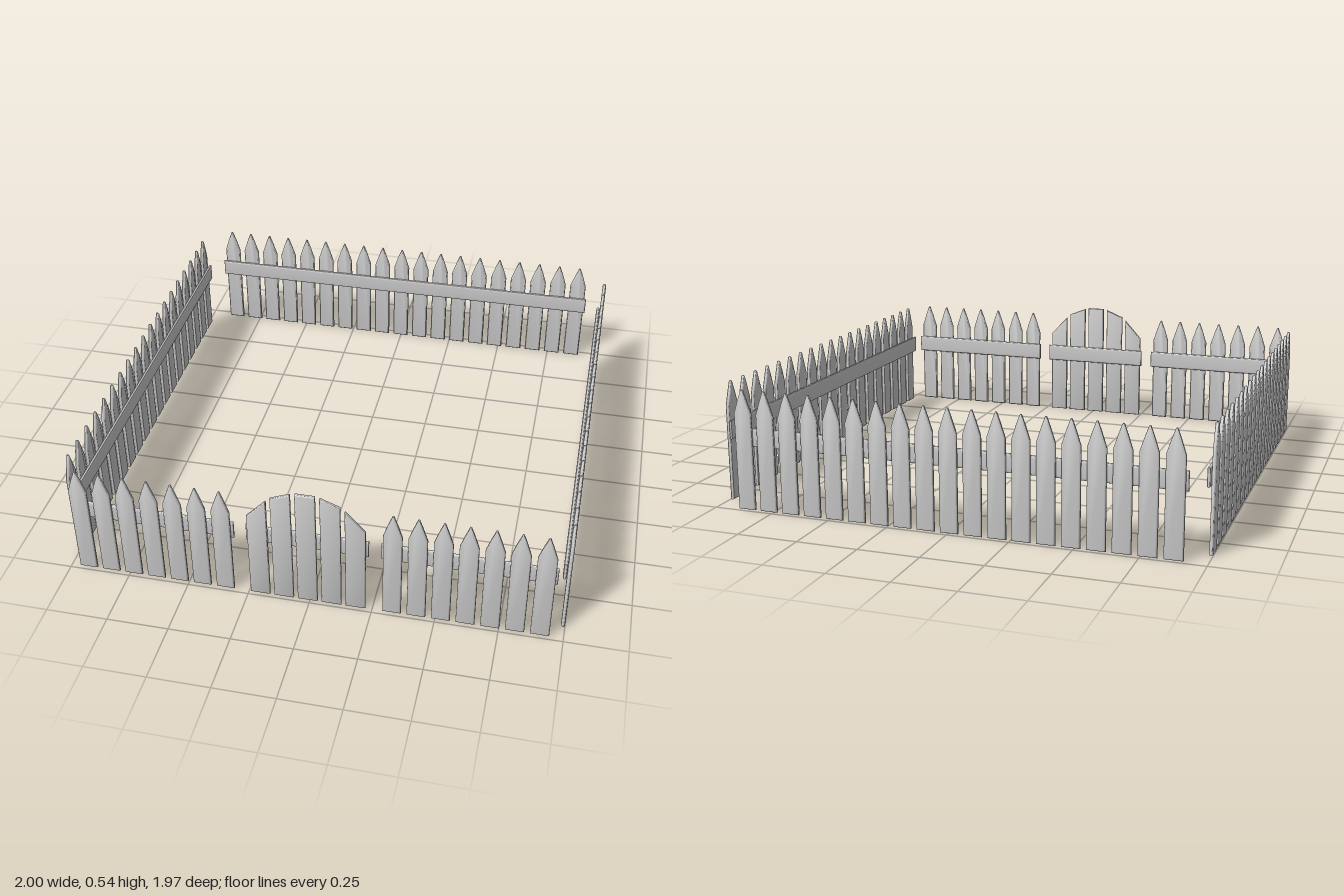
import * as THREE from 'three';
import { toCreasedNormals } from 'three/addons/utils/BufferGeometryUtils.js';

const material = new THREE.MeshStandardMaterial({ color: 0xcccccc });
const SPACING = 0.0967, THICK = 0.016;

// Thin board with softened edges, cut from a 2D outline; occupies z = 0..THICK
function board(points, bevel) {
  const shape = new THREE.Shape(points.map(([x, y]) => new THREE.Vector2(x, y)));
  const bevelThickness = 0.006;
  const geo = new THREE.ExtrudeGeometry(shape, {
    depth: THICK - 2 * bevelThickness, bevelEnabled: true, bevelThickness,
    bevelSize: bevel, bevelOffset: -bevel, bevelSegments: 3,
  });
  geo.translate(0, 0, bevelThickness);
  return toCreasedNormals(geo, 0.9);
}

function addMesh(group, name, geo, x, y, z) {
  const mesh = new THREE.Mesh(geo, material);
  mesh.name = name;
  mesh.position.set(x, y, z);
  group.add(mesh);
}

// Pointed picket shared by all fence panels
const W = 0.037;
const picketGeo = board([
  [-W, 0], [W, 0], [W, 0.395], [0.018, 0.453], [0.003, 0.493],
  [-0.003, 0.493], [-0.018, 0.453], [-W, 0.395],
], 0.007);

// Rail on the inner side of the boards
function addRail(group, length) {
  const l = length / 2, h = 0.038;
  addMesh(group, 'rail', board([[-l, -h], [l, -h], [l, h], [-l, h]], 0.012), 0, 0.297, -THICK);
}

// Row of pickets centred on local x = 0, outer side facing local +z
function fencePanel(name, count) {
  const group = new THREE.Group();
  group.name = name;
  for (let i = 0; i < count; i++) {
    addMesh(group, 'picket', picketGeo, (i - (count - 1) / 2) * SPACING, 0, 0);
  }
  addRail(group, count * SPACING - 0.005);
  return group;
}

// Gate with five boards whose tops form an arch
function gate() {
  const group = new THREE.Group();
  group.name = 'gate';
  const w = 0.04;
  const tops = [[0.535, 0.535], [0.53, 0.498], [0.482, 0.395]]; // inner, outer heights
  for (let i = -2; i <= 2; i++) {
    const [inner, outer] = tops[Math.abs(i)];
    const left = i < 0 ? outer : inner, right = i < 0 ? inner : outer;
    addMesh(group, 'gateBoard', board([[-w, 0], [w, 0], [w, right], [-w, left]], 0.004), i * SPACING, 0, 0);
  }
  addRail(group, 0.487);
  return group;
}

export function createModel() {
  const model = new THREE.Group();
  model.name = 'picketFence';
  const place = (panel, x, z, turn) => {
    panel.position.set(x, 0, z);
    panel.rotation.y = turn;
    model.add(panel);
  };
  const side = 1 - THICK, end = 0.986 - THICK;
  place(fencePanel('frontRightPanel', 7), -0.638, end, 0);
  place(fencePanel('frontLeftPanel', 7), 0.618, end, 0);
  place(gate(), -0.01, end, 0);
  place(fencePanel('backPanel', 19), -0.003, -end, Math.PI);
  place(fencePanel('leftPanel', 19), side, 0.015, Math.PI / 2);
  place(fencePanel('rightPanel', 19), -side, 0.015, -Math.PI / 2);
  return model;
}
